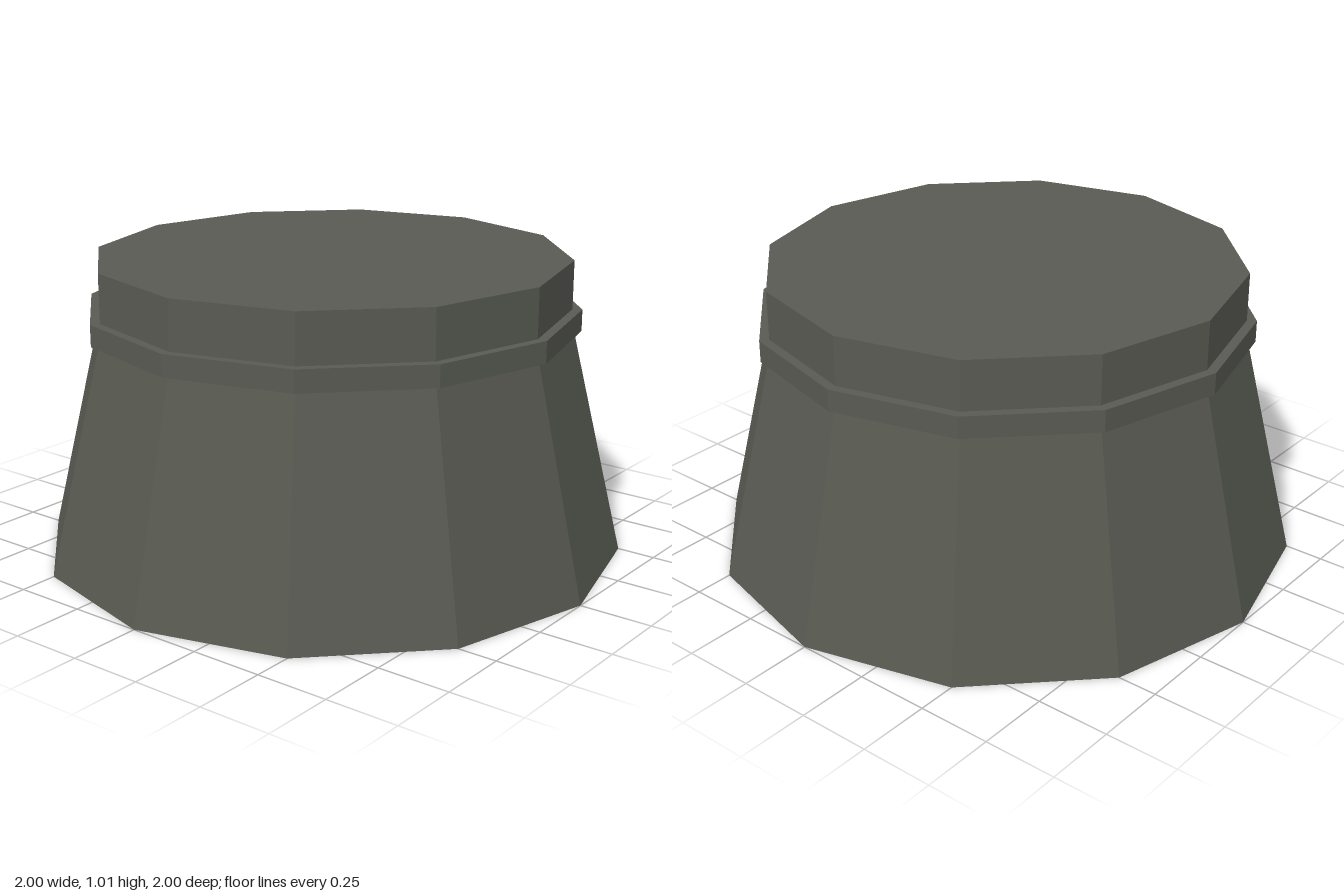
import * as THREE from 'three';

export function createModel() {
  const model = new THREE.Group();
  model.name = 'taperedDrum';

  const darkGrey = new THREE.MeshStandardMaterial({ color: 0x585a52, flatShading: true });
  darkGrey.name = 'darkGrey';

  // twelve-sided section between two heights
  const addSection = (name, bottomRadius, topRadius, y0, y1) => {
    const geometry = new THREE.CylinderGeometry(topRadius, bottomRadius, y1 - y0, 12);
    const mesh = new THREE.Mesh(geometry, darkGrey);
    mesh.name = name;
    mesh.position.y = (y0 + y1) / 2;
    model.add(mesh);
  };

  addSection('taperedBase', 1, 0.815, 0, 0.773);
  addSection('collarRing', 0.84, 0.84, 0.773, 0.847);
  addSection('topCap', 0.807, 0.807, 0.847, 1.013);

  return model;
}
